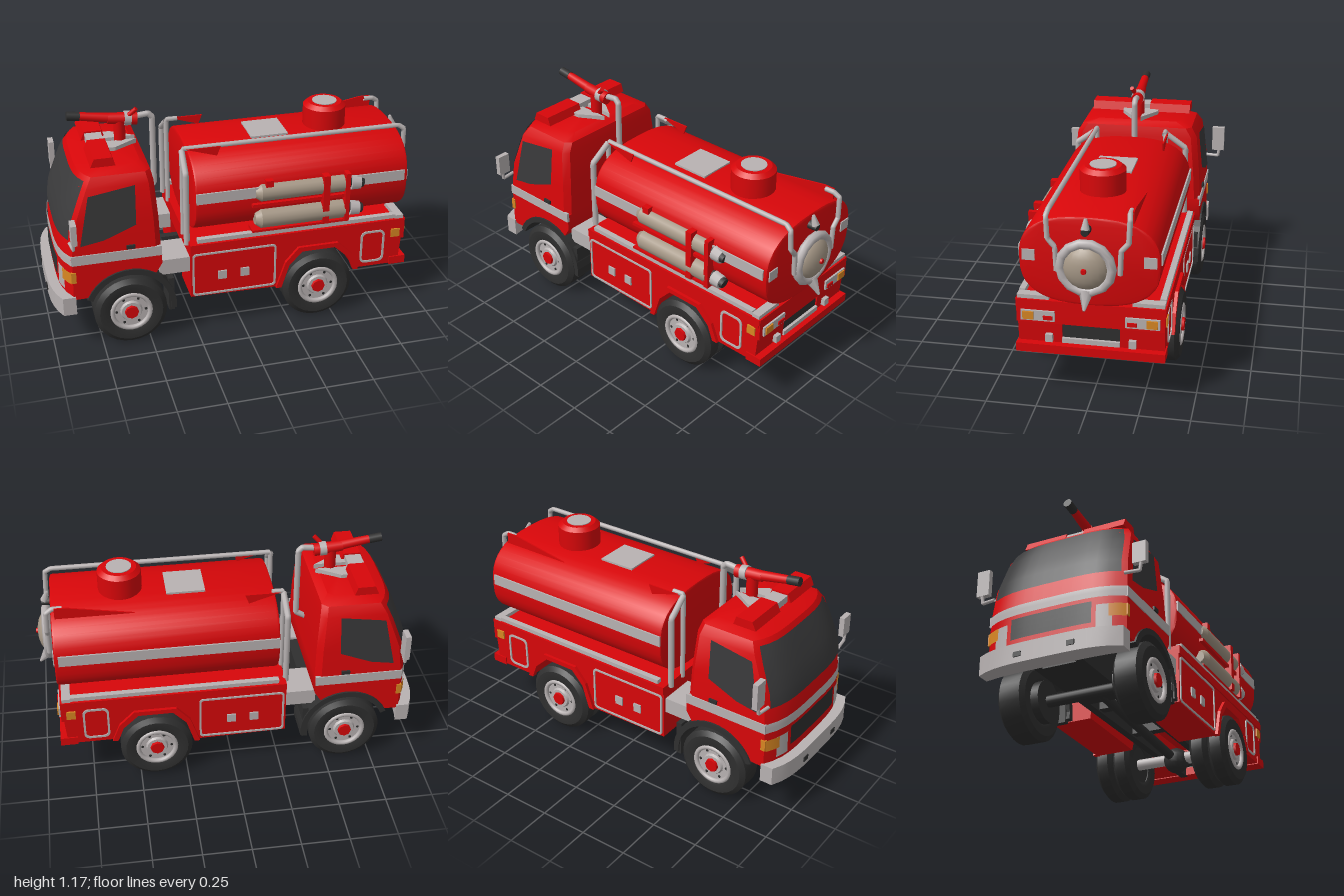
import * as THREE from 'three';
import { toCreasedNormals } from 'three/addons/utils/BufferGeometryUtils.js';

const mat = (name, color) => new THREE.MeshStandardMaterial({ name, color, side: THREE.DoubleSide });
const V = (x, y, z) => new THREE.Vector3(x, y, z);

// Cab outline by height: y, front x, back x, half width
const CAB = [[0.3, -0.95, -0.43, 0.37], [0.54, -0.945, -0.43, 0.37], [0.7, -0.925, -0.435, 0.36],
  [0.9, -0.85, -0.45, 0.34], [0.95, -0.82, -0.46, 0.31], [0.975, -0.74, -0.5, 0.25]];
function cabAt(y) {
  y = Math.min(Math.max(y, 0.3), 0.975);
  const i = Math.max(1, CAB.findIndex(r => r[0] >= y));
  const a = CAB[i - 1], b = CAB[i], k = (y - a[0]) / (b[0] - a[0]);
  return a.map((v, j) => v + (b[j] - v) * k);
}
const bow = t => 0.06 * t ** 4;

export function createModel() {
  const red = mat('red paint', 0xd80609), silver = mat('silver', 0xb8b2b2), black = mat('black rubber', 0x2f2f2f),
    glass = mat('dark glass', 0x3b3b3c), tan = mat('tan canvas', 0xa59786), orange = mat('orange lamp', 0xd88622);
  const root = new THREE.Group();
  const add = (name, m, geo) => {
    const mesh = new THREE.Mesh(geo, m);
    mesh.name = name;
    root.add(mesh);
    return mesh;
  };
  const box = (name, m, x0, x1, y0, y1, z0, z1) =>
    add(name, m, new THREE.BoxGeometry(x1 - x0, y1 - y0, Math.abs(z1 - z0)).translate((x0 + x1) / 2, (y0 + y1) / 2, (z0 + z1) / 2));
  const poly = pts => new THREE.Shape(pts.map(p => new THREE.Vector2(...p)));
  const slab = (name, m, shape, z0, z1) =>
    add(name, m, new THREE.ExtrudeGeometry(shape, { depth: Math.abs(z1 - z0), bevelEnabled: false, curveSegments: 8 }).translate(0, 0, Math.min(z0, z1)));
  const tube = (name, m, pts, r) => {
    const path = new THREE.CurvePath();
    for (let i = 1; i < pts.length; i++) path.add(new THREE.LineCurve3(pts[i - 1], pts[i]));
    return add(name, m, new THREE.TubeGeometry(path, pts.length * 16, r, 8));
  };
  const rod = (name, m, a, b, r0, r1 = r0, n = 16) => {
    const d = b.clone().sub(a);
    const mesh = add(name, m, new THREE.CylinderGeometry(r1, r0, d.length(), n));
    mesh.position.copy(a).addScaledVector(d, 0.5);
    mesh.quaternion.setFromUnitVectors(V(0, 1, 0), d.normalize());
  };
  const roundRect = (x0, x1, y0, y1, r) => {
    const s = new THREE.Shape();
    s.absarc(x1 - r, y1 - r, r, 0, Math.PI / 2);
    s.absarc(x0 + r, y1 - r, r, Math.PI / 2, Math.PI);
    s.absarc(x0 + r, y0 + r, r, Math.PI, Math.PI * 1.5);
    s.absarc(x1 - r, y0 + r, r, Math.PI * 1.5, Math.PI * 2);
    return s;
  };
  const frame = (x0, x1, y0, y1, r, w) => {
    const s = roundRect(x0, x1, y0, y1, r);
    s.holes.push(roundRect(x0 + w, x1 - w, y0 + w, y1 - w, r - w / 2));
    return s;
  };
  // Thin plate following the bowed cab front
  const frontPatch = (name, m, y0, y1, t0, t1, off = 0.006) => {
    const g = new THREE.PlaneGeometry(1, 1, 12, 4), p = g.attributes.position;
    for (let i = 0; i < p.count; i++) {
      const y = y0 + (p.getY(i) + 0.5) * (y1 - y0), t = t0 + (p.getX(i) + 0.5) * (t1 - t0), c = cabAt(y);
      p.setXYZ(i, c[1] + bow(t) - off, y, t * c[3]);
    }
    g.computeVertexNormals();
    add(name, m, g);
  };

  // Lower cab with wheel arch
  const low = [[-0.43, 0.54], [-0.945, 0.54], [-0.95, 0.3], [-0.84, 0.3]];
  for (let a = 155; a >= 55; a -= 10) low.push([-0.6 + 0.24 * Math.cos(a * Math.PI / 180), 0.2 + 0.24 * Math.sin(a * Math.PI / 180)]);
  low.push([-0.43, 0.45]);
  const lg = new THREE.ExtrudeGeometry(poly(low), { depth: 0.74, steps: 14, bevelEnabled: false }).translate(0, 0, -0.37);
  const lp = lg.attributes.position;
  for (let i = 0; i < lp.count; i++) if (lp.getX(i) < -0.86) lp.setX(i, lp.getX(i) + bow(lp.getZ(i) / 0.37));
  add('lowerCab', red, toCreasedNormals(lg, 0.6));

  // Upper cab lofted from rings
  const pos = [], idx = [];
  let n = 0;
  for (const [y, xf, xb, hw] of CAB.slice(1)) {
    const ring = [];
    for (let i = -7; i <= 7; i++) ring.push([xf + bow(i / 7), hw * i / 7]);
    ring.push([xb - 0.03, hw], [xb, hw - 0.03], [xb, 0.03 - hw], [xb - 0.03, -hw]);
    n = ring.length;
    ring.forEach(([x, z]) => pos.push(x, y, z));
  }
  const rows = CAB.length - 1, top = (rows - 1) * n;
  for (let r = 0; r < rows - 1; r++) for (let i = 0; i < n; i++) {
    const a = r * n + i, b = r * n + (i + 1) % n;
    idx.push(a, b, b + n, a, b + n, a + n);
  }
  pos.push(-0.62, 0.98, 0);
  for (let i = 0; i < n; i++) idx.push(rows * n, top + i, top + (i + 1) % n);
  const cab = new THREE.BufferGeometry();
  cab.setAttribute('position', new THREE.Float32BufferAttribute(pos, 3));
  cab.setIndex(idx);
  add('upperCab', red, toCreasedNormals(cab, 0.5));

  // Cab front details
  frontPatch('windscreen', glass, 0.635, 0.93, -0.94, 0.94, 0.009);
  frontPatch('frontStripe', silver, 0.5, 0.553, -1, 1);
  frontPatch('grille', black, 0.37, 0.48, -0.58, 0.58);
  const bg = new THREE.BoxGeometry(0.1, 0.1, 0.76, 1, 1, 14), bp = bg.attributes.position;
  for (let i = 0; i < bp.count; i++) bp.setX(i, bp.getX(i) - 0.95 + bow(bp.getZ(i) / 0.38) * (bp.getX(i) < 0 ? 0.9 : 0.35));
  add('frontBumper', silver, toCreasedNormals(bg.translate(0, 0.27, 0), 0.5));
  for (const s of [1, -1]) box('bumperSlot', black, -1.004, -0.99, 0.25, 0.275, s * 0.12, s * 0.16);

  for (const s of [1, -1]) {
    // Cab sides
    frontPatch('headlight', silver, 0.34, 0.46, s * 0.64, s * 0.84);
    frontPatch('frontIndicator', orange, 0.395, 0.46, s * 0.8, s * 1, 0.008);
    box('sideIndicator', orange, -0.895, -0.87, 0.4, 0.46, s * 0.36, s * 0.376);
    const wg = new THREE.ShapeGeometry(poly([[-0.84, 0.605], [-0.72, 0.625], [-0.555, 0.69], [-0.55, 0.9], [-0.785, 0.865]]));
    const wp = wg.attributes.position;
    for (let i = 0; i < wp.count; i++) wp.setZ(i, s * (cabAt(wp.getY(i))[3] + 0.007));
    add('sideWindow', glass, wg);
    box('cabStripe', silver, -0.89, -0.43, 0.5, 0.553, s * 0.36, s * 0.375);
    box('doorHandle', black, -0.61, -0.565, 0.56, 0.58, s * 0.36, s * 0.378);
    const my = s > 0 ? 0.665 : 0.69;
    box('mirror', silver, -0.89, -0.862, my, my + (s > 0 ? 0.11 : 0.14), s * 0.395, s * 0.465);
    tube('mirrorArm', silver, [V(-0.89, my - 0.04, s * 0.355), V(-0.88, my - 0.04, s * 0.43), V(-0.88, my + 0.02, s * 0.44)], 0.009);

    // Front fender, flap and gap boxes
    const fender = new THREE.Shape();
    fender.absarc(-0.6, 0.2, 0.24, -0.1, 2.75, false);
    fender.absarc(-0.6, 0.2, 0.21, 2.75, -0.1, true);
    slab('frontFender', black, fender, s * 0.2, s * 0.38);
    box('mudFlap', black, -0.4, -0.37, 0.16, 0.35, s * 0.22, s * 0.37);
    box('gapBox', silver, -0.44, -0.28, 0.36, 0.445, s * 0.14, s * 0.34);

    // Lower body side with rear arch and lockers
    slab('bodySide', red, poly([[-0.28, 0.5], [-0.28, 0.21], [0.2, 0.2], [0.25, 0.33], [0.32, 0.405], [0.5, 0.405],
      [0.58, 0.33], [0.62, 0.25], [0.87, 0.25], [0.89, 0.5]]), s * 0.14, s * 0.355);
    slab('archLip', red, poly([[0.18, 0.2], [0.23, 0.35], [0.3, 0.43], [0.52, 0.43], [0.6, 0.35], [0.64, 0.25],
      [0.61, 0.25], [0.58, 0.33], [0.5, 0.405], [0.32, 0.405], [0.25, 0.33], [0.21, 0.2]]), s * 0.345, s * 0.372);
    slab('lockerTrim', silver, frame(-0.27, 0.18, 0.215, 0.465, 0.02, 0.01), s * 0.35, s * 0.361);
    slab('rearLockerTrim', silver, frame(0.65, 0.785, 0.275, 0.465, 0.03, 0.011), s * 0.35, s * 0.361);
    for (const x of [-0.11, 0.01]) box('lockerLatch', silver, x - 0.023, x + 0.023, 0.3, 0.348, s * 0.35, s * 0.363);
    box('bodyTopRail', red, -0.28, 0.89, 0.475, 0.52, s * 0.3, s * 0.362);
    box('deckTrim', silver, -0.24, 0.84, 0.525, 0.547, s * 0.325, s * 0.355);
    box('rearDeckTrim', silver, 0.84, 0.885, 0.52, 0.54, s * 0.2, s * 0.355);
    box('sideMarker', orange, 0.82, 0.868, 0.415, 0.462, s * 0.35, s * 0.364);

    // Tank stripes, hand rails and gussets
    box('tankStripe', silver, -0.24, 0.88, 0.74, 0.798, s * 0.3, s * 0.34);
    box('rearStripe', silver, 0.895, 0.906, 0.732, 0.787, s * 0.257, s * 0.318);
    const railFront = [V(-0.28, 0.5, s * 0.19), V(-0.28, 0.99, s * 0.19)];
    const railRear = [V(0.89, 0.99, s * 0.19), V(0.92, 0.97, s * 0.195), V(0.925, 0.86, s * 0.19), V(0.925, 0.82, s * 0.155), V(0.925, 0.7, s * 0.15)];
    if (s > 0) tube('topRail', silver, [...railFront, ...railRear], 0.013);
    else {
      tube('frontRail', silver, [...railFront, V(-0.22, 0.99, -0.19)], 0.013);
      tube('rearRail', silver, [V(0.84, 0.99, -0.19), ...railRear], 0.013);
      slab('rearGusset', red, poly([[0.48, 0.94], [0.88, 0.94], [0.88, 1.0], [0.82, 1.0]]), -0.208, -0.2);
    }
    tube('frontPost', silver, [V(-0.285, 0.5, s * 0.3), V(-0.285, 0.9, s * 0.3), V(-0.28, 0.98, s * 0.19)], 0.016);
    slab('frontGusset', red, poly([[-0.26, 0.99], [-0.08, 0.99], [-0.1, 0.94]]), s * 0.2, s * 0.208);

    // Rear lamps
    box('rearLampFrame', silver, 0.88, 0.905, 0.415, 0.468, s * 0.17, s * 0.335);
    box('rearLamp', orange, 0.9, 0.912, 0.423, 0.463, s * 0.272, s * 0.325);
    box('rearReflector', red, 0.9, 0.911, 0.425, 0.445, s * 0.18, s * 0.225);
    box('towBracket', silver, 0.87, 0.898, 0.3, 0.34, s * 0.185, s * 0.22);

    // Wheels: single at the front, double at the rear
    for (const [x, tyres] of [[-0.6, [0.235]], [0.41, [0.18, 0.285]]]) {
      for (const z0 of tyres) {
        const w = tyres.length > 1 ? 0.1 : 0.15;
        const prof = [[0.1, 0.01], [0.12, 0], [0.165, 0], [0.19, 0.02], [0.19, w - 0.02], [0.165, w], [0.12, w], [0.1, w - 0.01]];
        const tyre = new THREE.LatheGeometry(prof.map(p => new THREE.Vector2(...p)), 28);
        add('tyre', black, toCreasedNormals(tyre.translate(0, -w / 2, 0).rotateX(Math.PI / 2), 0.5)).position.set(x, 0.19, s * (z0 + w / 2));
      }
      rod('brakeDrum', black, V(x, 0.19, s * 0.2), V(x, 0.19, s * 0.34), 0.106, 0.106, 28);
      rod('rim', silver, V(x, 0.19, s * 0.33), V(x, 0.19, s * 0.37), 0.108, 0.108, 28);
      add('rimRing', silver, new THREE.TorusGeometry(0.1, 0.013, 8, 28)).position.set(x, 0.19, s * 0.376);
      rod('hubPlate', silver, V(x, 0.19, s * 0.36), V(x, 0.19, s * 0.382), 0.065, 0.052);
      rod('hubCap', red, V(x, 0.19, s * 0.37), V(x, 0.19, s * 0.395), 0.039, 0.035, 8);
      for (let i = 0; i < 6; i++) {
        const a = i * Math.PI / 3, px = x + 0.077 * Math.cos(a), py = 0.19 + 0.077 * Math.sin(a);
        rod('rimHole', black, V(px, py, s * 0.36), V(px, py, s * 0.372), 0.008, 0.008, 6);
      }
    }
    box('chassisRail', black, -0.88, 0.84, 0.24, 0.33, s * 0.09, s * 0.13);
  }

  // Chassis and drivetrain
  for (const [x, m] of [[-0.6, black], [0.41, silver]]) rod('axle', m, V(x, 0.19, -0.3), V(x, 0.19, 0.3), 0.03);
  add('differential', black, new THREE.SphereGeometry(0.07, 12, 8)).position.set(0.41, 0.18, 0.03);
  rod('driveShaft', black, V(-0.45, 0.26, 0), V(0.4, 0.19, 0.02), 0.025);
  box('engine', black, -0.85, -0.38, 0.24, 0.44, -0.13, 0.13);
  for (const x of [-0.28, 0.1, 0.66]) box('crossMember', black, x, x + 0.05, 0.25, 0.31, -0.14, 0.14);

  // Deck, rear panel and rear bumper
  box('deck', red, -0.28, 0.89, 0.42, 0.52, -0.35, 0.35);
  box('rearPanel', red, 0.86, 0.895, 0.4, 0.52, -0.358, 0.358);
  box('rearRecess', black, 0.84, 0.87, 0.32, 0.4, -0.14, 0.14);
  box('rearSill', silver, 0.85, 0.885, 0.295, 0.32, -0.14, 0.14);
  box('rearBumper', red, 0.82, 0.91, 0.245, 0.29, -0.362, 0.362);

  // Tank with rounded cross-section
  const sec = [];
  for (let i = 0; i < 40; i++) {
    const a = i * Math.PI / 20, f = v => Math.sign(v) * Math.abs(v) ** (2 / 2.7);
    sec.push([0.325 * f(Math.cos(a)), 0.74 + 0.215 * f(Math.sin(a))]);
  }
  const tank = new THREE.ExtrudeGeometry(poly(sec), { depth: 1.12, bevelThickness: 0.012, bevelSize: 0.01, bevelSegments: 2 });
  add('tank', red, toCreasedNormals(tank.rotateY(Math.PI / 2).translate(-0.232, 0, 0), 0.5));
  box('tankHatch', silver, 0.11, 0.31, 0.95, 0.972, -0.1, 0.1);
  rod('manhole', red, V(0.54, 0.93, 0), V(0.54, 1.07, 0), 0.113, 0.113, 24);
  rod('manholeRim', red, V(0.54, 1.07, 0), V(0.54, 1.09, 0), 0.113, 0.09, 24);
  rod('manholeLid', silver, V(0.54, 1.08, 0), V(0.54, 1.094, 0), 0.065, 0.065, 20);

  // Rear hose port and work lamp
  add('portRing', silver, new THREE.TorusGeometry(0.122, 0.024, 8, 14).rotateY(Math.PI / 2)).position.set(0.93, 0.725, 0.01);
  add('portCover', tan, new THREE.SphereGeometry(0.112, 20, 12).scale(0.55, 1, 1)).position.set(0.92, 0.725, 0.01);
  rod('portKnob', red, V(0.96, 0.73, 0.01), V(0.99, 0.73, 0.01), 0.02, 0.012, 8);
  rod('portSpike', silver, V(0.93, 0.6, 0.01), V(0.985, 0.53, 0.01), 0.035, 0.006, 6);
  rod('workLamp', black, V(0.9, 0.91, 0.01), V(0.945, 0.905, 0.01), 0.025, 0.018, 10);
  rod('workLampHood', silver, V(0.93, 0.915, 0.01), V(0.915, 0.965, 0.01), 0.022, 0.008, 6);

  // Rolled hoses with nozzles and brackets on the left flank of the tank
  for (const [y, r] of [[0.762, 0.05], [0.612, 0.055]]) {
    rod('hoseRoll', tan, V(0.1, y, 0.318), V(0.55, y, 0.318), r);
    rod('hoseTip', tan, V(0.1, y, 0.318), V(0.07, y, 0.318), r, r * 0.6);
    rod('hoseCoupling', black, V(0.55, y, 0.32), V(0.6, y, 0.32), 0.034);
    rod('hoseNozzle', silver, V(0.585, y, 0.33), V(0.635, y - 0.005, 0.335), 0.042, 0.036, 10);
    rod('nozzleMouth', black, V(0.62, y, 0.335), V(0.65, y - 0.007, 0.335), 0.03, 0.026, 10);
    box('hoseShelf', red, 0.05, 0.56, y - 0.07, y - 0.053, 0.28, 0.355);
  }
  box('frontHoseBracket', red, 0.12, 0.16, 0.8, 0.835, 0.29, 0.355);
  for (const [x, w] of [[0.425, 0.035], [0.545, 0.025]]) box('hoseBracket', red, x, x + w, 0.555, 0.83, 0.29, 0.37);

  // Light bar on the cab roof
  for (const s of [1, -1]) {
    const half = poly([[-0.755, 0.985], [-0.63, 0.985], [-0.645, 1.03], [-0.735, 1.03]]);
    slab('lightBar', red, half, s * 0.05, s * 0.28);
    box('lightBarFoot', silver, -0.72, -0.66, 0.96, 0.99, s * 0.15, s * 0.24);
    const plate = poly([[-0.73, s * 0.02], [-0.66, s * 0.1], [-0.6, s * 0.1], [-0.48, s * 0.02]]);
    add('cannonFoot', silver, new THREE.ExtrudeGeometry(plate, { depth: 0.025, bevelEnabled: false }).rotateX(Math.PI / 2).translate(0, 0.998, 0));
  }
  box('lightBarCentre', silver, -0.735, -0.65, 0.985, 1.022, -0.05, 0.05);

  // Water cannon
  rod('cannonPost', red, V(-0.56, 0.97, 0), V(-0.56, 1.1, 0), 0.03);
  rod('cannonBody', red, V(-0.62, 1.115, 0), V(-0.47, 1.1, 0), 0.028, 0.034);
  rod('cannonCollar', silver, V(-0.535, 1.107, 0), V(-0.5, 1.104, 0), 0.037);
  rod('cannonBarrel', red, V(-0.77, 1.143, 0), V(-0.6, 1.115, 0), 0.021, 0.026);
  rod('cannonTip', black, V(-0.825, 1.15, 0), V(-0.76, 1.141, 0), 0.023);
  rod('cannonHandle', red, V(-0.53, 1.11, 0.01), V(-0.475, 1.165, 0.03), 0.012);
  tube('cannonPipe', silver, [V(-0.5, 1.11, 0), V(-0.41, 1.12, 0), V(-0.39, 1.1, 0), V(-0.39, 0.72, 0), V(-0.44, 0.69, 0)], 0.016);
  return root;
}
